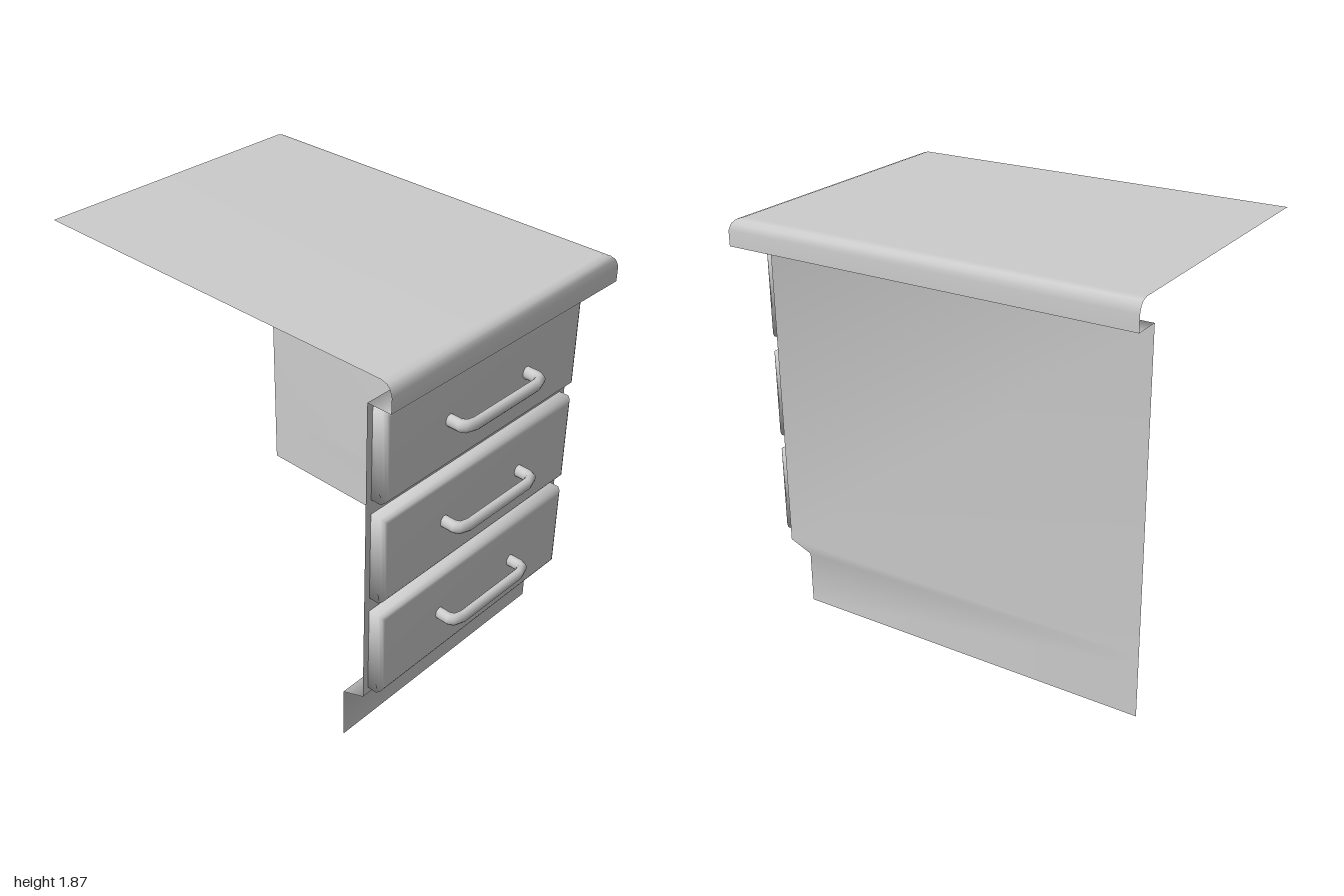
import * as THREE from 'three';

const material = new THREE.MeshStandardMaterial({ color: 0xcccccc, side: THREE.DoubleSide });

// Smooth surface through rows of points; optional closed rings and extra triangles.
function loft(name, rows, { closed = false, extraPoints = [], extraFaces = [] } = {}) {
  const n = rows[0].length;
  const index = [];
  for (let r = 0; r < rows.length - 1; r++) {
    for (let c = 0; c < (closed ? n : n - 1); c++) {
      const a = r * n + c, b = r * n + (c + 1) % n;
      index.push(a, b, b + n, a, b + n, a + n);
    }
  }
  const geometry = new THREE.BufferGeometry();
  const points = [...rows.flat(), ...extraPoints];
  geometry.setAttribute('position', new THREE.Float32BufferAttribute(points.flat(), 3));
  geometry.setIndex([...index, ...extraFaces]);
  geometry.computeVertexNormals();
  const mesh = new THREE.Mesh(geometry, material);
  mesh.name = name;
  return mesh;
}

const LEFT = -1, OPEN = 0.7;

// One level of the L-shaped shell: drawer side, corner, long side.
const level = ([x, y, z]) => [[x, y, OPEN], [x, y, z], [LEFT, y, z]];

// Raised drawer front with softened edges.
function drawerFront(y) {
  const steps = [[0.825, 0], [0.872, 0], [0.886, 0.009], [0.892, 0.022]];
  const rows = steps.map(([x, inset]) => {
    const z0 = 0.67 - inset, z1 = -0.54 + inset, h = 0.208 - inset;
    return [[x, y - h, z0], [x, y - h, z1], [x, y + h, z1], [x, y + h, z0]];
  });
  const k = (steps.length - 1) * 4;
  return loft('drawerFront', rows, {
    closed: true, extraFaces: [k, k + 1, k + 2, k, k + 2, k + 3],
  });
}

// Bow handle: elliptical rings between an outer and an inner outline.
function handle(y) {
  const zMid = 0.0625;
  // outer x, outer half length, inner x, inner half length
  const bend = [
    [0.885, 0.264, 0.885, 0.218],
    [0.95, 0.264, 0.938, 0.218],
    [0.98, 0.25, 0.951, 0.211],
    [1.0, 0.19, 0.957, 0.19],
  ];
  const path = [
    ...bend.map(([xo, zo, xi, zi]) => [xo, -zo, xi, -zi]),
    ...bend.slice().reverse(),
  ];
  const sides = 12;
  const rows = path.map(([xo, zo, xi, zi]) => Array.from({ length: sides }, (_, i) => {
    const a = (i / sides) * Math.PI * 2, t = (1 + Math.cos(a)) / 2;
    return [xi + (xo - xi) * t, y + 0.028 * Math.sin(a), zMid + zi + (zo - zi) * t];
  }));
  return loft('handle', rows, { closed: true });
}

export function createModel() {
  const model = new THREE.Group();
  model.name = 'drawerCabinet';

  // Toe kick, front, long side panel and the ledge under the worktop
  model.add(loft('cabinetShell', [
    [0.715, 0, -0.575],
    [0.715, 0.25, -0.575],
    [0.825, 0.295, -0.575],
    [0.825, 1.745, -0.575],
    [0.94, 1.745, -0.7],
  ].map(level)));

  // Worktop sheet with a rounded lip on two sides
  const lip = [
    [0.94, 1.745, -0.7],
    [0.94, 1.815, -0.7],
    [0.931, 1.845, -0.691],
    [0.915, 1.862, -0.675],
    [0.888, 1.87, -0.648],
  ].map(level);
  const k = (lip.length - 1) * 3;
  model.add(loft('worktop', lip, {
    extraPoints: [[LEFT, 1.87, OPEN]],
    extraFaces: [k, k + 1, k + 2, k, k + 2, k + 3],
  }));

  // Three drawers, each with its handle
  for (const y of [0.537, 1.021, 1.505]) {
    const drawer = new THREE.Group();
    drawer.name = 'drawer';
    drawer.add(drawerFront(y), handle(y + 0.008));
    model.add(drawer);
  }
  return model;
}
